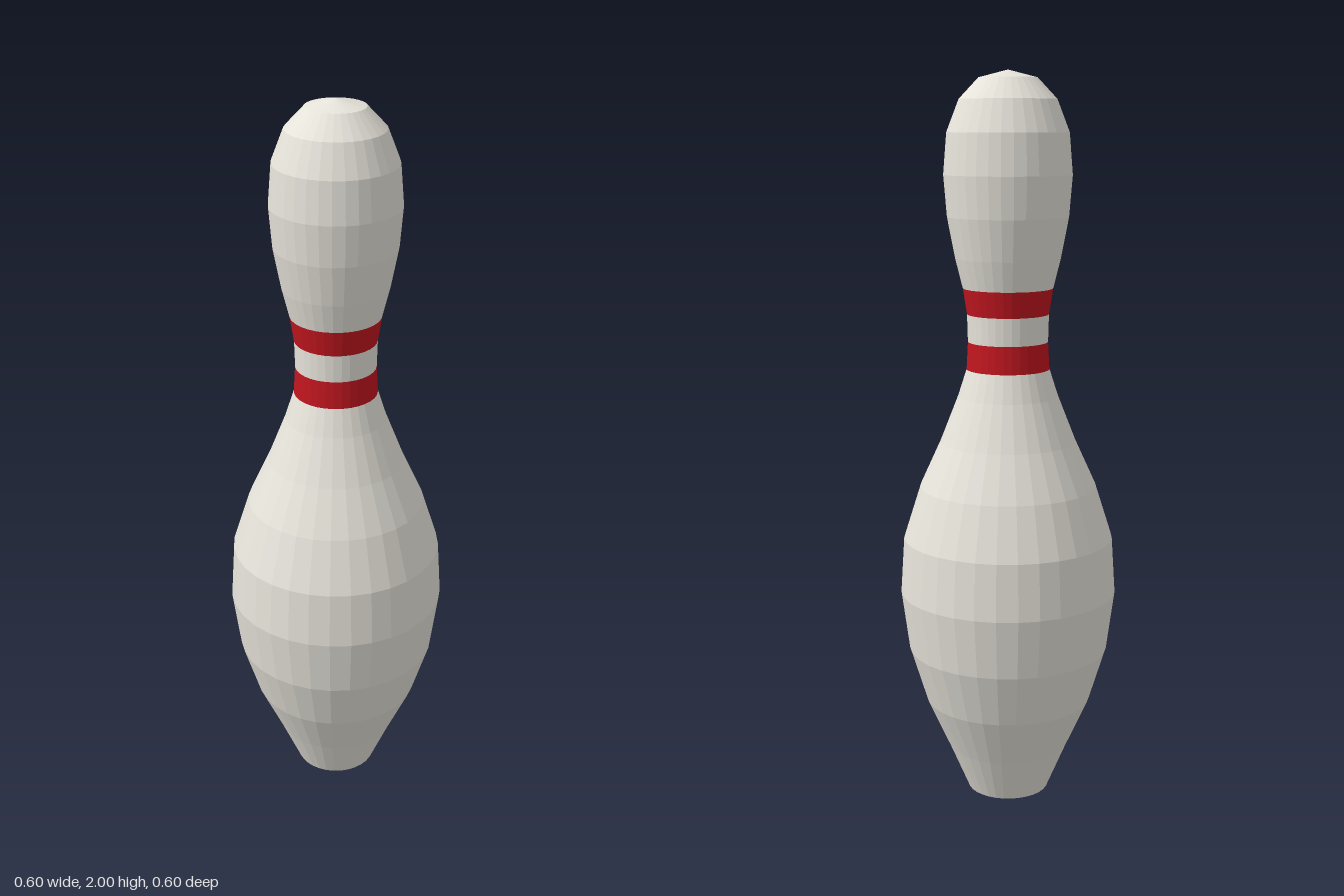
import * as THREE from 'three';

const SEGMENTS = 32;

// One turned section of the pin, from [radius, height] pairs running upward
function turned(name, profile, color) {
  const points = profile.map(([r, y]) => new THREE.Vector2(r, y));
  const mesh = new THREE.Mesh(
    new THREE.LatheGeometry(points, SEGMENTS),
    new THREE.MeshStandardMaterial({ color, flatShading: true })
  );
  mesh.name = name;
  return mesh;
}

export function createModel() {
  const pin = new THREE.Group();
  pin.name = 'bowlingPin';
  const white = 0xe6e3da, red = 0xc1161f;

  // Rings shared between neighbouring sections
  const lowerStripeBottom = [0.113, 1.21];
  const lowerStripeTop = [0.109, 1.285];
  const upperStripeBottom = [0.111, 1.36];
  const upperStripeTop = [0.122, 1.43];

  pin.add(
    // Flat base, belly and shoulder
    turned('body', [
      [0, 0], [0.113, 0], [0.168, 0.13], [0.231, 0.27], [0.277, 0.42],
      [0.299, 0.585], [0.289, 0.74], [0.243, 0.885], [0.186, 1.01],
      [0.137, 1.135], lowerStripeBottom,
    ], white),
    // Neck with its two stripes
    turned('lowerStripe', [lowerStripeBottom, lowerStripeTop], red),
    turned('neck', [lowerStripeTop, upperStripeBottom], white),
    turned('upperStripe', [upperStripeBottom, upperStripeTop], red),
    // Rounded head
    turned('head', [
      upperStripeTop, [0.142, 1.51], [0.163, 1.62], [0.172, 1.73],
      [0.163, 1.84], [0.13, 1.925], [0.078, 1.98], [0, 2],
    ], white)
  );
  return pin;
}
